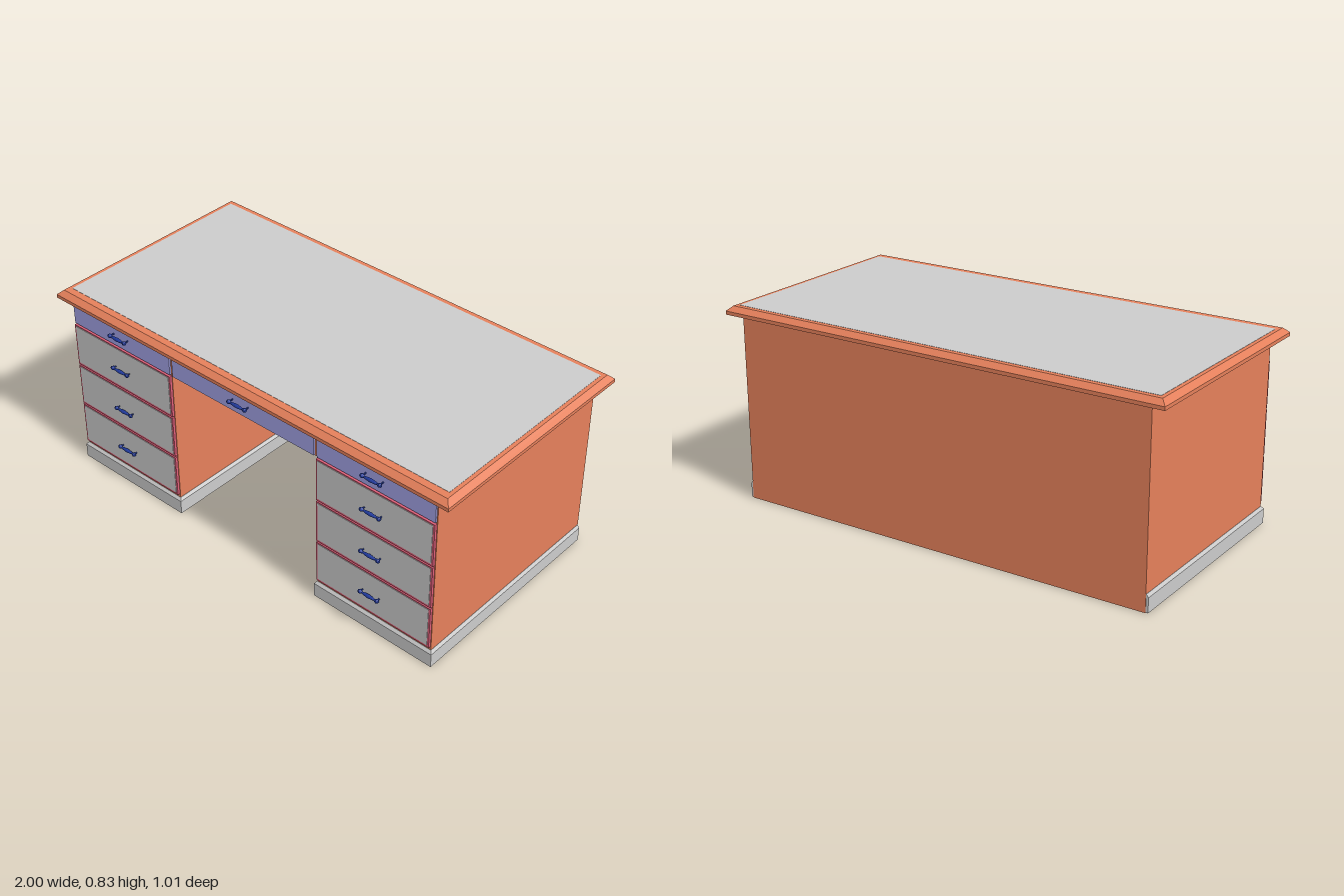
import * as THREE from 'three';

const mat = (color) => new THREE.MeshStandardMaterial({ color, flatShading: true });

export function createModel() {
  const desk = new THREE.Group();
  const wood = mat(0xe5805b), grey = mat(0xcccccc), blue = mat(0xa3a3e6);
  const pink = mat(0xe0607a), navy = mat(0x203a9c);

  const add = (name, geometry, material, parent = desk) => {
    const mesh = new THREE.Mesh(geometry, material);
    mesh.name = name;
    parent.add(mesh);
    return mesh;
  };

  // Box between two corners
  const box = (name, material, x0, x1, y0, y1, z0, z1, parent) => {
    const g = new THREE.BoxGeometry(x1 - x0, y1 - y0, z1 - z0);
    g.translate((x0 + x1) / 2, (y0 + y1) / 2, (z0 + z1) / 2);
    return add(name, g, material, parent);
  };

  // Box with a chamfer around its top: the upper vertex rings are pulled in
  const chamferBox = (name, material, x0, x1, y0, y1, z0, z1, drop, inset, backInset = inset) => {
    const g = new THREE.BoxGeometry(x1 - x0, 2, z1 - z0, 1, 2, 1);
    const p = g.attributes.position;
    const cx = (x0 + x1) / 2, cz = (z0 + z1) / 2;
    for (let i = 0; i < p.count; i++) {
      const level = Math.round(p.getY(i));
      const x = p.getX(i), z = p.getZ(i), top = level === 1;
      const dz = z > 0 ? -inset : backInset;
      p.setXYZ(i, cx + x - (top ? Math.sign(x) * inset : 0),
        [y0, y1 - drop, y1][level + 1], cz + z + (top ? dz : 0));
    }
    g.computeVertexNormals();
    return add(name, g, material);
  };

  // Pull handle: turned bar on two posts
  const barProfile = [
    [0, -0.05], [0.006, -0.048], [0.009, -0.041], [0.006, -0.034], [0.004, -0.03],
    [0.006, -0.02], [0.008, 0], [0.006, 0.02], [0.004, 0.03],
    [0.006, 0.034], [0.009, 0.041], [0.006, 0.048], [0, 0.05],
  ].map(([r, y]) => new THREE.Vector2(r, y));
  const barGeo = new THREE.LatheGeometry(barProfile, 12).rotateZ(Math.PI / 2);
  const postGeo = new THREE.CylinderGeometry(0.003, 0.003, 0.026, 8).rotateX(Math.PI / 2);
  const addHandle = (x, y) => {
    const handle = new THREE.Group();
    handle.name = 'handle';
    handle.position.set(x, y, 0.496);
    add('handleBar', barGeo, navy, handle);
    for (const s of [-1, 1]) add('handlePost', postGeo, navy, handle).position.set(s * 0.04, 0, -0.013);
    desk.add(handle);
  };

  // Desktop with chamfered rim and inlaid writing surface
  chamferBox('desktop', wood, -1, 1, 0.795, 0.83, -0.505, 0.499, 0.02, 0.022);
  box('writingSurface', grey, -0.962, 0.962, 0.825, 0.831, -0.463, 0.447);

  // Back panel and the box of the centre drawer
  box('backPanel', wood, -0.935, 0.935, 0, 0.796, -0.475, -0.455);
  box('centreDrawerBox', wood, -0.375, 0.375, 0.688, 0.796, -0.456, 0.467);
  box('centreDrawerFront', blue, -0.367, 0.367, 0.692, 0.793, 0.46, 0.475);
  addHandle(0, 0.745);

  // Pedestals with plinths and drawers
  for (const s of [-1, 1]) {
    const span = (a, b) => (s > 0 ? [a, b] : [-b, -a]);
    box('pedestal', wood, ...span(0.377, 0.935), 0, 0.796, -0.456, 0.467);
    chamferBox('plinth', grey, ...span(0.367, 0.945), 0.001, 0.075, -0.473, 0.477, 0.012, 0.009, 0);

    box('topDrawerFront', blue, ...span(0.382, 0.931), 0.692, 0.793, 0.46, 0.475);
    addHandle(s * 0.655, 0.745);

    for (const y of [0.19, 0.39, 0.59]) {
      box('drawerFront', pink, ...span(0.38, 0.932), y - 0.098, y + 0.095, 0.46, 0.478);
      box('drawerPanel', grey, ...span(0.388, 0.924), y - 0.088, y + 0.09, 0.465, 0.48);
      addHandle(s * 0.655, y);
    }
  }
  return desk;
}
